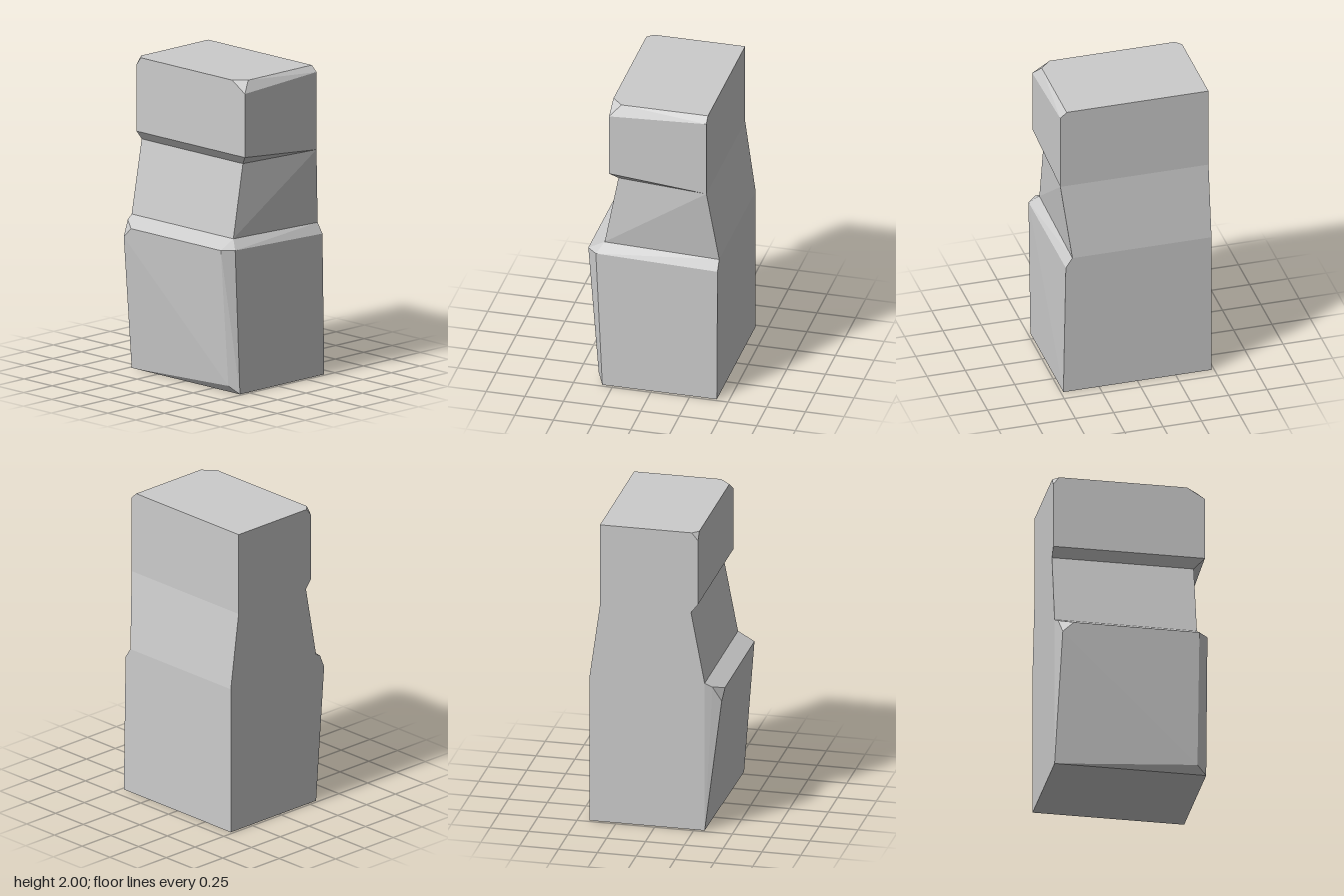
import * as THREE from 'three';
import { ConvexGeometry } from 'three/addons/geometries/ConvexGeometry.js';

const FRONT = 0.483, BACK = -0.483;

// The three blocks meet on these shared outlines (right/left x, sloping top of the base)
const waistBottom = [
  [0.423, 0.97, 0.424], [-0.318, 0.993, 0.424],
  [-0.318, 0.993, BACK], [0.423, 0.97, BACK],
];
const waistTop = [
  [0.355, 1.462, FRONT], [-0.23, 1.462, 0.42],
  [-0.23, 1.462, BACK], [0.355, 1.462, BACK],
];

// Flat-faced convex block from its corner points
function block(name, corners) {
  const geometry = new ConvexGeometry(corners.map(c => new THREE.Vector3(...c)));
  const material = new THREE.MeshStandardMaterial({ color: 0xcccccc, flatShading: true });
  const mesh = new THREE.Mesh(geometry, material);
  mesh.name = name;
  return mesh;
}

export function createModel() {
  const group = new THREE.Group();
  group.name = 'steppedBlock';

  group.add(block('lowerBody', [
    ...waistBottom,
    // foot
    [0.423, 0, FRONT], [-0.318, 0, FRONT], [-0.318, 0, BACK], [0.423, 0, BACK],
    // front shoulder edge
    [0.423, 0.905, 0.467], [-0.36, 0.935, FRONT],
    // leaning side wall with cut corners
    [-0.425, 0.935, 0.42], [-0.425, 0.935, -0.38],
    [-0.42, 0.87, -0.45], [-0.365, 0.967, -0.47],
    [-0.358, 0.05, 0.42], [-0.318, 0, -0.36],
  ]));

  group.add(block('waist', [...waistBottom, ...waistTop]));

  group.add(block('head', [
    ...waistTop,
    // overhang edge
    [0.355, 1.52, FRONT], [-0.275, 1.52, FRONT], [-0.275, 1.52, BACK],
    // bevelled front top edge and chipped front corner
    [0.355, 1.962, FRONT], [0.355, 2, 0.442], [-0.275, 1.93, FRONT],
    [-0.205, 2, 0.442], [-0.275, 2, 0.37],
    // back top edge with a chipped corner
    [-0.275, 2, -0.445], [-0.235, 2, BACK], [-0.275, 1.95, BACK], [0.355, 2, BACK],
  ]));

  return group;
}
